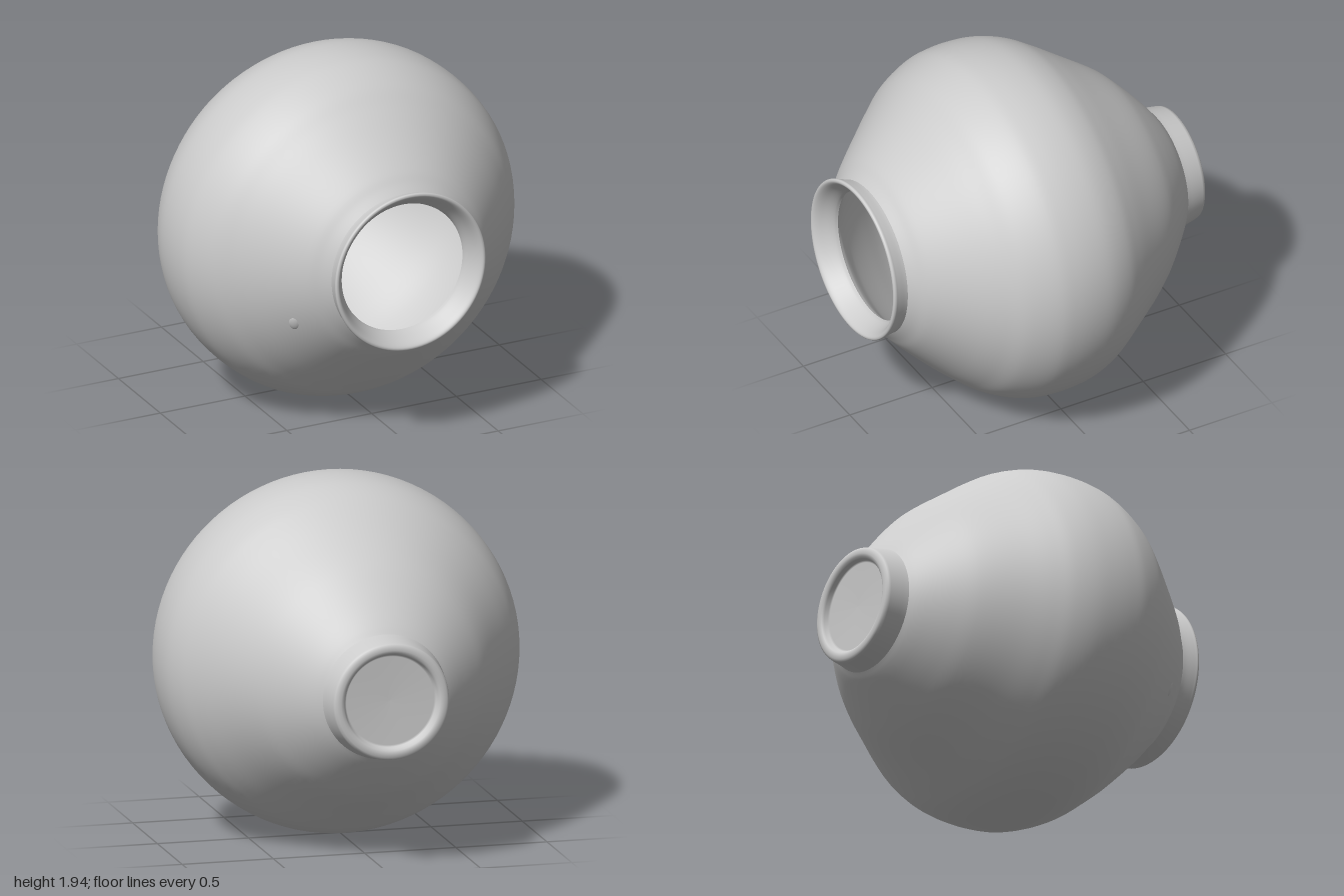
import * as THREE from 'three';

const grey = () => new THREE.MeshStandardMaterial({ color: 0xcccccc });
const v2 = (list) => list.map(([r, z]) => new THREE.Vector2(r, z));

// Smooth profile through [radius, z] points
function smooth(list, n) {
  const curve = new THREE.CatmullRomCurve3(list.map(([r, z]) => new THREE.Vector3(r, z, 0)));
  return curve.getPoints(n).map((p) => new THREE.Vector2(p.x, p.y));
}

// Linear interpolation in a table of [z, value]
function lookup(table, z) {
  for (let i = 1; i < table.length; i++) {
    const [a, va] = table[i - 1], [b, vb] = table[i];
    if (z <= b) return va + (vb - va) * THREE.MathUtils.clamp((z - a) / (b - a), 0, 1);
  }
  return table[table.length - 1][1];
}

// Centre line of the hand-thrown, slightly crooked pot
const centreY = [[-1, 0.93], [-0.85, 0.932], [-0.6, 0.963], [0, 0.967], [0.6, 0.972], [0.85, 0.995], [1, 1.012]];
const centreX = [[-1, -0.017], [-0.8, -0.008], [-0.5, 0.008], [0, 0], [1, -0.004]];

// Turns a profile about z and bends it along the centre line
function turned(name, points) {
  const geo = new THREE.LatheGeometry(points, 96);
  geo.rotateX(Math.PI / 2);
  const pos = geo.attributes.position;
  for (let i = 0; i < pos.count; i++) {
    const x = pos.getX(i), y = pos.getY(i), z = pos.getZ(i);
    const tilt = THREE.MathUtils.smoothstep(z, 0.8, 0.95);
    pos.setXYZ(i,
      x + lookup(centreX, z),
      y * (1 - 0.014 * (1 - z * z)) + lookup(centreY, z),
      z - tilt * (0.025 * y + 0.012 * x));
  }
  const mesh = new THREE.Mesh(geo, grey());
  mesh.name = name;
  return mesh;
}

export function createModel() {
  const group = new THREE.Group();
  group.name = 'vase';

  // Foot ring with a shallow recess underneath
  group.add(turned('foot', v2([
    [0, -0.955], [0.24, -0.96], [0.25, -0.965], [0.255, -0.985], [0.265, -0.995],
    [0.28, -1], [0.3, -0.998], [0.313, -0.99], [0.318, -0.975], [0.332, -0.9], [0.34, -0.87],
  ])));

  // Full outer belly
  group.add(turned('body', smooth([
    [0.34, -0.87], [0.375, -0.845], [0.43, -0.8], [0.54, -0.7], [0.637, -0.6], [0.785, -0.4],
    [0.87, -0.28], [0.925, -0.19], [0.965, -0.08], [0.98, 0.03], [0.978, 0.15], [0.96, 0.25],
    [0.89, 0.4], [0.81, 0.5], [0.722, 0.6], [0.53, 0.8], [0.47, 0.85], [0.425, 0.89],
  ], 90)));

  // Flared lip
  group.add(turned('lip', smooth([
    [0.425, 0.88], [0.43, 0.91], [0.442, 0.955], [0.446, 0.97], [0.442, 0.98],
    [0.43, 0.982], [0.415, 0.97], [0.39, 0.93], [0.365, 0.885], [0.36, 0.865],
  ], 36)));

  // Hollow inside
  group.add(turned('innerWall', smooth([
    [0.36, 0.865], [0.38, 0.84], [0.48, 0.76], [0.66, 0.58], [0.83, 0.38], [0.905, 0.2],
    [0.92, 0.03], [0.87, -0.17], [0.72, -0.4], [0.56, -0.6], [0.42, -0.73], [0.32, -0.82], [0.29, -0.86],
  ], 60)));

  // Stepped floor inside the foot
  group.add(turned('innerFloor', v2([
    [0.29, -0.86], [0.28, -0.9], [0.265, -0.915], [0.255, -0.91], [0.25, -0.9], [0.24, -0.895], [0, -0.89],
  ])));

  // Small clay blemish on the shoulder
  const blemish = new THREE.Mesh(new THREE.SphereGeometry(1, 20, 12), grey());
  blemish.name = 'blemish';
  blemish.scale.set(0.035, 0.05, 0.018);
  blemish.position.set(-0.555, 0.72, 0.7);
  blemish.lookAt(-1.25, 0.42, 1.5);
  group.add(blemish);

  return group;
}
